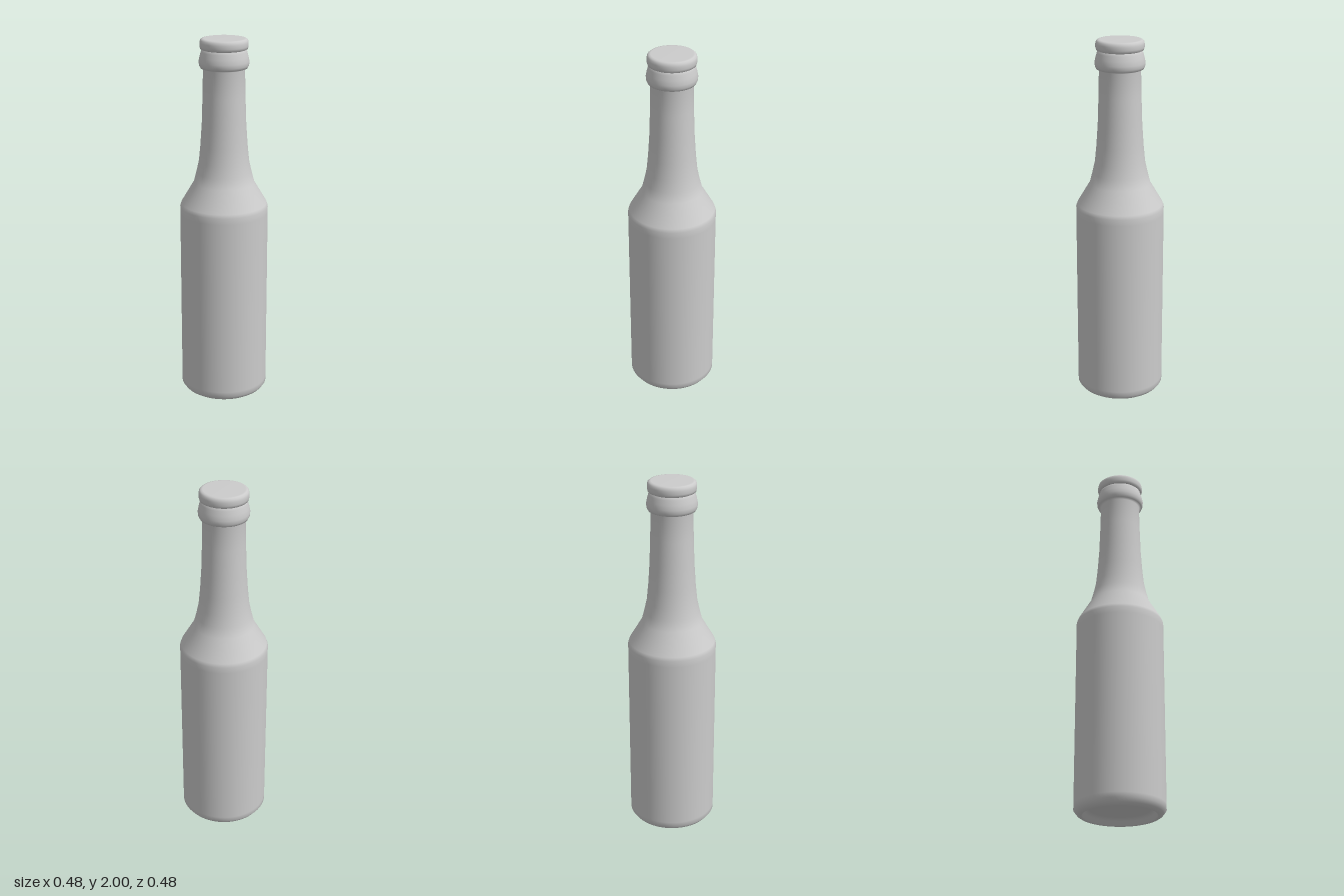
import * as THREE from 'three';

const SEGMENTS = 64;

// Revolves [radius, height] pairs, listed from the bottom centre upwards.
function turned(name, profile) {
  const points = profile.map(([r, y]) => new THREE.Vector2(r, y));
  const material = new THREE.MeshStandardMaterial({ color: 0xcccccc, side: THREE.DoubleSide });
  const mesh = new THREE.Mesh(new THREE.LatheGeometry(points, SEGMENTS), material);
  mesh.name = name;
  return mesh;
}

export function createModel() {
  const group = new THREE.Group();
  group.name = 'bottle';

  // Glass: hollowed base, straight body, sloping shoulder, long neck and lip ring
  group.add(turned('bottleGlass', [
    [0, 0.05], [0.16, 0.04], [0.178, 0.025], [0.192, 0.006], [0.2, 0],
    [0.21, 0.003], [0.224, 0.012], [0.24, 0.033], [0.24, 0.06],
    [0.24, 1.05], [0.24, 1.085], [0.233, 1.105],
    [0.165, 1.22], [0.15, 1.277], [0.136, 1.34], [0.127, 1.43], [0.119, 1.55],
    [0.114, 1.7], [0.111, 1.84],
    [0.125, 1.846], [0.132, 1.86], [0.134, 1.88], [0.129, 1.905], [0.122, 1.93],
    [0.118, 1.942], [0.11, 1.95],
  ]));

  // Closed cap with rounded edges
  group.add(turned('cap', [
    [0, 1.942], [0.116, 1.942], [0.125, 1.946], [0.129, 1.96],
    [0.129, 1.978], [0.126, 1.991], [0.118, 1.998], [0.108, 2], [0, 2],
  ]));

  return group;
}
